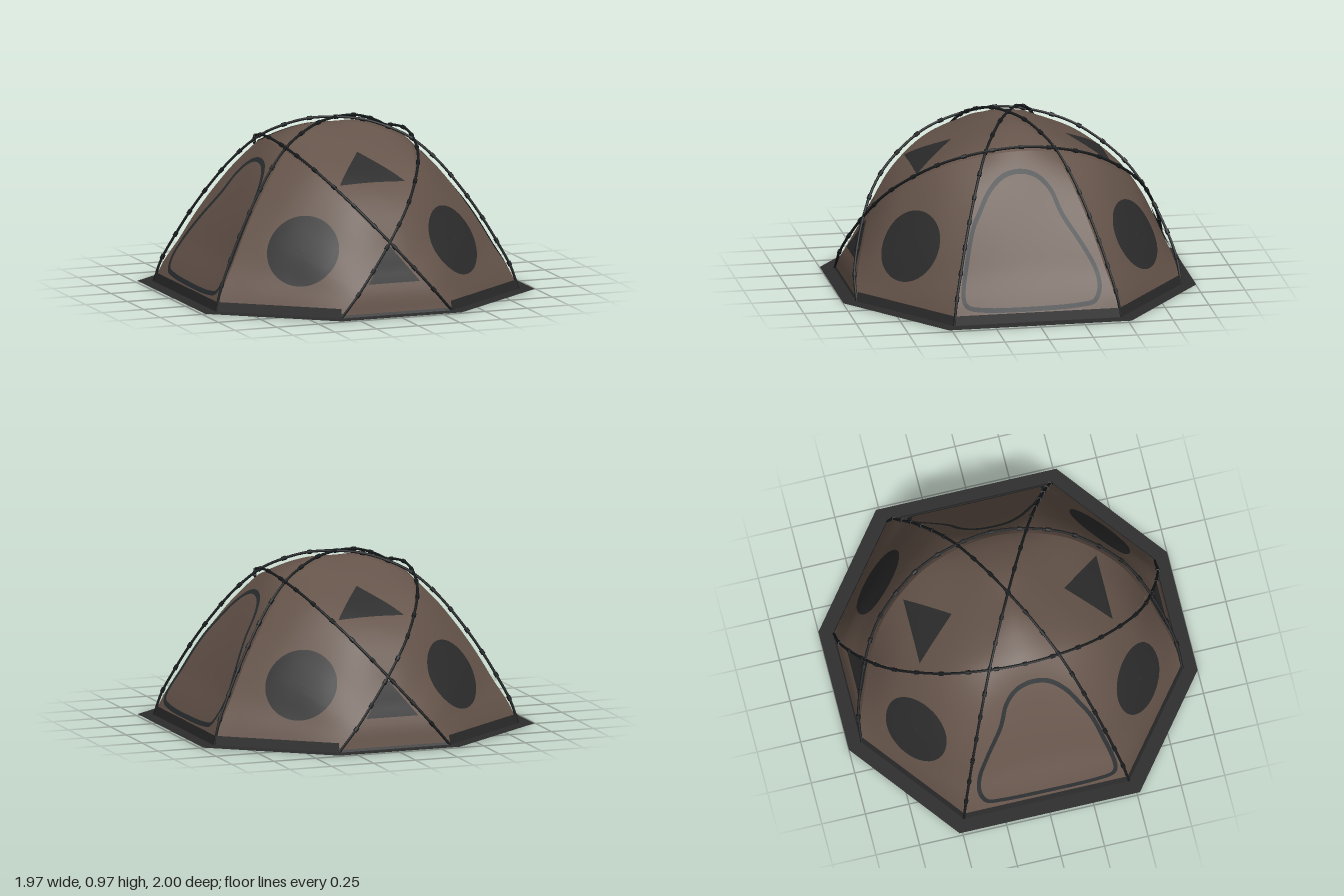
import * as THREE from 'three';
import { mergeGeometries } from 'three/addons/utils/BufferGeometryUtils.js';

const V = (x, y, z) => new THREE.Vector3(x, y, z);
const material = (name, color) => {
  const m = new THREE.MeshStandardMaterial({ color, side: THREE.DoubleSide });
  m.name = name;
  return m;
};

// Half profiles of the two pole types, from the ground up to the middle
const diagonalHalf = [[0.905, 0], [0.87, 0.12], [0.8, 0.265], [0.715, 0.42], [0.615, 0.575], [0.505, 0.72],
  [0.38, 0.84], [0.27, 0.9], [0.14, 0.943], [0, 0.955]].map(([x, y]) => V(x, y, x * 0.522));
const archHalf = [[0.92, 0], [0.91, 0.14], [0.82, 0.39], [0.715, 0.56], [0.575, 0.685], [0.41, 0.782],
  [0.198, 0.845], [0, 0.867]].map(([z, y]) => V(-0.33 + 0.845 * y, y, z));

// Full pole: the half profile followed by its reflection
const poleCurve = (half, sx, sz) => new THREE.CatmullRomCurve3(
  [...half, ...half.slice(0, -1).reverse().map((p) => V(p.x * sx, p.y, p.z * sz))]);

// Fabric hangs slightly inside the poles
const inset = (p) => {
  const k = 1 - 0.034 * Math.min(1, p.y * 4);
  return V(p.x * k, p.y * 0.973, p.z * k);
};
const section = (curve, from, to) => (t) =>
  inset(curve.getPoint((from + (to - from) * t) / (curve.points.length - 1)));
const flip = (fn, sx, sz) => (t) => fn(t).multiply(V(sx, 1, sz));
const line = (a, b) => (t) => a.clone().lerp(b, t);

// Grid of points to an indexed surface
function gridGeometry(rows) {
  const n = rows[0].length, index = [];
  for (let j = 0; j < rows.length - 1; j++) {
    for (let i = 0; i < n - 1; i++) {
      const a = j * n + i;
      index.push(a, a + 1, a + n, a + 1, a + n + 1, a + n);
    }
  }
  const g = new THREE.BufferGeometry().setFromPoints(rows.flat());
  g.setIndex(index);
  g.computeVertexNormals();
  return g;
}

// Fabric panel stretched between four boundary curves, sagging in the middle
function panelGeometry(bottom, top, left, right, sag, vMax = 1, n = 20) {
  const rows = [];
  for (let j = 0; j <= n; j++) {
    const v = (j / n) * vMax, row = [];
    for (let i = 0; i <= n; i++) {
      const u = i / n;
      const p = bottom(u).multiplyScalar(1 - v).addScaledVector(top(u), v)
        .addScaledVector(left(v), 1 - u).addScaledVector(right(v), u);
      p.addScaledVector(bottom(0), -(1 - u) * (1 - v)).addScaledVector(bottom(1), -u * (1 - v))
        .addScaledVector(top(0), -(1 - u) * v).addScaledVector(top(1), -u * v);
      row.push(p.addScaledVector(sag, 16 * u * (1 - u) * v * (1 - v)));
    }
    rows.push(row);
  }
  return gridGeometry(rows);
}

// Returns a function that lays a flat (a, b) point onto a panel along -normal
function projector(mesh, center, right, up, normal) {
  const caster = new THREE.Raycaster();
  mesh.updateMatrixWorld();
  return (a, b) => {
    for (let k = 1; k > 0; k -= 0.01) {
      const origin = center.clone().addScaledVector(right, a * k).addScaledVector(up, b * k)
        .addScaledVector(normal, 2);
      caster.set(origin, normal.clone().negate());
      const hit = caster.intersectObject(mesh)[0];
      if (hit) {
        const n = hit.face.normal.clone();
        if (n.dot(normal) < 0) n.negate();
        return hit.point.addScaledVector(n, 0.007);
      }
    }
    return center.clone();
  };
}

// Filled patch from an outline, in rings around its middle
function patchGeometry(outline, project, rings = 8) {
  const cx = outline.reduce((s, p) => s + p[0], 0) / outline.length;
  const cy = outline.reduce((s, p) => s + p[1], 0) / outline.length;
  const loop = [...outline, outline[0]], rows = [];
  for (let r = 0; r <= rings; r++) {
    const k = Math.max(r / rings, 0.01);
    rows.push(loop.map(([x, y]) => project(cx + (x - cx) * k, cy + (y - cy) * k)));
  }
  return gridGeometry(rows);
}
const triangle = (corners, n = 10) => corners.flatMap((a, i) => {
  const b = corners[(i + 1) % 3];
  return Array.from({ length: n }, (_, k) => [a[0] + (b[0] - a[0]) * k / n, a[1] + (b[1] - a[1]) * k / n]);
});

// Pole tube with small clips along its length
function poleGeometry(curve) {
  const parts = [new THREE.TubeGeometry(curve, 90, 0.0075, 8)];
  for (let i = 1; i < 20; i++) {
    const clip = new THREE.CylinderGeometry(0.012, 0.012, 0.026, 8);
    clip.applyQuaternion(new THREE.Quaternion().setFromUnitVectors(V(0, 1, 0), curve.getTangentAt(i / 20)));
    parts.push(clip.translate(...curve.getPointAt(i / 20).toArray()));
  }
  return mergeGeometries(parts);
}

export function createModel() {
  const model = new THREE.Group();
  model.name = 'domeTent';
  const fabric = material('brown fabric', 0x65544a);
  const dark = material('dark grey fabric', 0x2c2c2c);
  const trim = material('door trim', 0x2a2e30);
  const poleMat = material('pole', 0x181b1d);

  const add = (name, geometry, mat, sx = 1, sz = 1) => {
    const mesh = new THREE.Mesh(geometry, mat);
    mesh.name = name;
    mesh.scale.set(sx, 1, sz);
    model.add(mesh);
    return mesh;
  };
  const both = [1, -1];
  const addCopies = (name, geometry, mat, xs, zs) =>
    xs.flatMap((sx) => zs.map((sz) => add(name, geometry, mat, sx, sz)))[0];

  // Fabric panels between the poles
  const diagonal = poleCurve(diagonalHalf, -1, -1), arch = poleCurve(archHalf, 1, -1);
  const diagLow = section(diagonal, 0, 6), diagHigh = section(diagonal, 6, 9);
  const archLow = section(arch, 0, 2), archMid = section(arch, 2, 6), archTop = section(arch, 6, 8);
  const apex = () => diagHigh(1), crossing = () => archLow(1);
  const F = V(0.33, 0, 0.92), A = diagLow(0), B = V(A.x, 0, -A.z), flat = V(0, 0, 0);

  const corner = addCopies('cornerPanel',
    panelGeometry(line(F, A), archMid, flip(archLow, -1, 1), diagLow, V(-0.008, -0.004, -0.01)), fabric, both, both);
  const front = addCopies('lowerEndPanel',
    panelGeometry(line(V(-F.x, 0, F.z), F), crossing, archLow, flip(archLow, -1, 1), flat, 0.998), fabric, [1], both);
  const upper = addCopies('upperEndPanel',
    panelGeometry(archMid, flip(diagHigh, -1, 1), flip(archMid, -1, 1), diagHigh, V(0, -0.045, 0)), fabric, [1], both);
  const side = addCopies('sidePanel',
    panelGeometry(line(A, B), archTop, diagLow, flip(diagLow, 1, -1), V(-0.03, 0, 0)), fabric, both, [1]);
  addCopies('roofPanel',
    panelGeometry(archTop, apex, diagHigh, flip(diagHigh, 1, -1), flat, 0.998), fabric, both, [1]);

  // Round windows on the corner panels
  const normal = V(0.568, 0.4, 0.719).normalize();
  const across = V(0.785, 0, -0.62).normalize();
  const upDir = normal.clone().cross(across).normalize();
  const circle = Array.from({ length: 48 }, (_, i) => {
    const t = (i / 48) * Math.PI * 2;
    return [0.205 * Math.cos(t), 0.205 * Math.sin(t)];
  });
  addCopies('roundWindow', patchGeometry(circle,
    projector(corner, V(0.445, 0.335, 0.63), across, upDir, normal)), dark, both, both);

  // Triangular vents on both ends
  const X = V(1, 0, 0), Y = V(0, 1, 0), Z = V(0, 0, 1);
  addCopies('upperVent', patchGeometry(triangle([[-0.195, 0.55], [0.195, 0.55], [0, 0.32]]),
    projector(upper, V(0, 0, 0), X, Z, Y)), dark, [1], both);
  addCopies('lowerVent', patchGeometry(triangle([[-0.155, 0.17], [0.155, 0.17], [0, 0.37]]),
    projector(front, V(0, 0, 0), X, Y, Z)), dark, [1], both);

  // Door outlines on the two sides, as (z, y) points
  const door = new THREE.CatmullRomCurve3([[0.41, 0.13], [0.37, 0.32], [0.32, 0.476], [0.27, 0.56], [0.2, 0.66],
    [0.11, 0.727], [0.01, 0.743], [-0.075, 0.716], [-0.14, 0.65], [-0.19, 0.53], [-0.29, 0.37], [-0.353, 0.246],
    [-0.364, 0.155], [-0.33, 0.09], [-0.25, 0.073], [0, 0.063], [0.3, 0.07], [0.39, 0.09]]
    .map(([z, y]) => V(z, y - 0.3, 0)), true);
  const onSide = projector(side, V(0, 0.3, 0), Z, Y, X);
  const rims = [-0.012, 0.012].map((w) => Array.from({ length: 121 }, (_, i) => {
    const p = door.getPoint((i % 120) / 120), t = door.getTangent((i % 120) / 120);
    return onSide(p.x - t.y * w, p.y + t.x * w);
  }));
  addCopies('doorTrim', gridGeometry(rims), trim, both, [1]);

  // Ground skirt and the upright band along the bottom edge
  const octagon = (a, b, c, d) => [[a, b], [c, d], [c, -d], [a, -b], [-a, -b], [-c, -d], [-c, d], [-a, b]];
  const toPoints = (list) => list.map(([x, z]) => new THREE.Vector2(x, z));
  const inner = octagon(0.33, 0.92, 0.905, 0.472);
  const skirt = new THREE.Shape(toPoints(octagon(0.36, 1, 0.987, 0.517)));
  skirt.holes.push(new THREE.Path(toPoints(inner)));
  add('groundSkirt', new THREE.ShapeGeometry(skirt).rotateX(-Math.PI / 2), dark);
  inner.forEach(([x, z], i) => {
    const [x2, z2] = inner[(i + 1) % 8];
    const h = x === -x2 ? 0.025 : 0.052, k = 1.004, q = 0.992;
    add('bottomBand', gridGeometry([[V(x * k, 0, z * k), V(x2 * k, 0, z2 * k)],
      [V(x * q, h, z * q), V(x2 * q, h, z2 * q)]]), dark);
  });

  // Crossing poles
  addCopies('diagonalPole', poleGeometry(diagonal), poleMat, both, [1]);
  addCopies('archPole', poleGeometry(arch), poleMat, both, [1]);
  return model;
}
